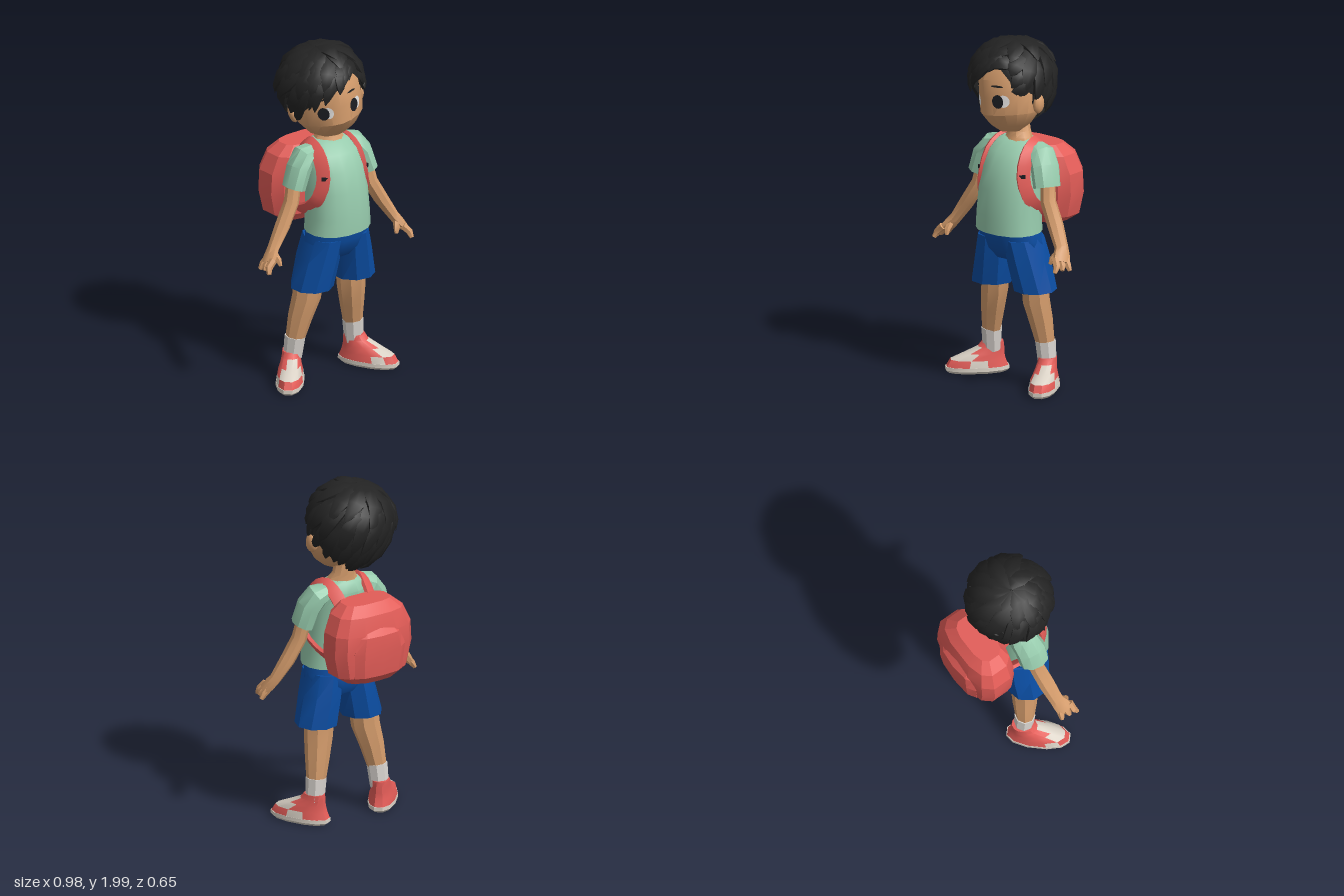
import * as THREE from 'three';
import { toCreasedNormals } from 'three/addons/utils/BufferGeometryUtils.js';
import { ParametricGeometry } from 'three/addons/geometries/ParametricGeometry.js';

const V = (x, y, z) => new THREE.Vector3(x, y, z);
const UP = V(0, 1, 0), FRONT = V(0, 0, 1);

function material(name, color, side = THREE.FrontSide) {
  const m = new THREE.MeshStandardMaterial({ color, side });
  m.name = name;
  return m;
}

// Closed skin over superellipse rings [x, y, z, halfWidth, halfDepth] along a path.
// dir fixes the ring plane; ref orients the rings; paint(ring, sector) picks a material slot.
function sweep(pts, { n = 10, ref = () => FRONT, dir, pow = 1, paint = () => 0, crease = 0.6 } = {}) {
  const centres = pts.map(p => V(p[0], p[1], p[2]));
  const rings = pts.map((p, i) => {
    const c = centres[i];
    const t = dir ? dir.clone() : centres[Math.min(i + 1, pts.length - 1)].clone().sub(centres[Math.max(i - 1, 0)]).normalize();
    const u = t.clone().cross(ref(c)).normalize();
    const v = t.clone().cross(u);
    return Array.from({ length: n }, (_, j) => {
      const a = (j + 0.5) / n * Math.PI * 2, co = Math.cos(a), si = Math.sin(a);
      return c.clone()
        .addScaledVector(u, p[3] * Math.sign(co) * Math.abs(co) ** pow)
        .addScaledVector(v, (p[4] ?? p[3]) * Math.sign(si) * Math.abs(si) ** pow);
    });
  });
  const slots = [];
  const tri = (k, ...vs) => (slots[k] ??= []).push(...vs);
  const last = rings.length - 1;
  for (let j = 0; j < n; j++) {
    const k = (j + 1) % n;
    for (let i = 0; i < last; i++) {
      const [a, b, c, d] = [rings[i][j], rings[i][k], rings[i + 1][k], rings[i + 1][j]];
      tri(paint(i, j), a, b, c, a, c, d);
    }
    tri(paint(0, j), centres[0], rings[0][k], rings[0][j]);
    tri(paint(last - 1, j), centres[last], rings[last][j], rings[last][k]);
  }
  const g = new THREE.BufferGeometry().setFromPoints(slots.flat());
  let start = 0;
  slots.forEach((s, k) => { g.addGroup(start, s.length, k); start += s.length; });
  return toCreasedNormals(g, crease);
}

export function createModel() {
  const skin = material('skin', 0xd39b6b), hairMat = material('hair', 0x232323, THREE.DoubleSide);
  const shirt = material('shirt green', 0x97cbad), blue = material('shorts blue', 0x0b4da2);
  const red = material('coral red', 0xe25c57), cream = material('shoe cream', 0xd9d1c5);
  const sockMat = material('sock white', 0xdad5d0), white = material('eye white', 0xe6e4e2), dark = material('eye dark', 0x1b1d22);
  const root = new THREE.Group();
  const add = (parent, name, geo, mat) => {
    const m = new THREE.Mesh(geo, mat);
    m.name = name;
    parent.add(m);
    return m;
  };
  const group = (name, parent, x, y, z, yaw = 0) => {
    const g = new THREE.Group();
    g.name = name;
    g.position.set(x, y, z);
    g.rotation.y = yaw;
    parent.add(g);
    return g;
  };
  // rows of [y, centreZ, halfWidth, halfDepth]
  const stack = (rows, opt) => sweep(rows.map(([y, z, w, d]) => [0, y, z, w, d]), { dir: UP, ...opt });

  // Torso, shorts and straps share the body's turn
  const body = group('body', root, 0.01, 0, 0.1, 0.26);
  add(body, 'shirt', stack([[0.905, 0.04, 0.195, 0.155], [1, 0.04, 0.187, 0.157], [1.15, 0.03, 0.18, 0.152], [1.27, 0.012, 0.175, 0.143],
    [1.36, -0.02, 0.165, 0.125], [1.41, -0.04, 0.125, 0.085], [1.425, -0.05, 0.085, 0.06]], { n: 16, pow: 0.9 }), shirt);
  add(body, 'shortsHips', stack([[0.745, 0.005, 0.12, 0.1], [0.8, 0.012, 0.2, 0.136], [0.86, 0.025, 0.198, 0.147], [0.925, 0.035, 0.185, 0.145]],
    { n: 12, crease: 1 }), blue);
  for (const s of [1, -1]) {
    add(body, 'shortsLeg', sweep([[s * 0.09, 0.87, 0.024, 0.1, 0.138], [s * 0.115, 0.74, 0.009, 0.114, 0.138], [s * 0.15, 0.57, -0.003, 0.122, 0.125]],
      { n: 9, dir: V(0, -1, 0) }), blue);
    const curve = new THREE.CatmullRomCurve3([V(0.1, 1.3, -0.19), V(0.11, 1.375, -0.12), V(0.125, 1.41, -0.05), V(0.138, 1.36, 0.05),
      V(0.15, 1.23, 0.1), V(0.178, 1.1, 0.065), V(0.165, 1.02, -0.06), V(0.14, 1, -0.17)].map(p => p.setX(p.x * s)));
    add(body, 'backpackStrap', sweep(curve.getPoints(18).map(p => [p.x, p.y, p.z, 0.041, 0.015]),
      { n: 6, pow: 0.6, ref: p => V(p.x, (p.y - 1.2) * 0.8, p.z) }), red);
    const buckle = add(body, 'strapBuckle', new THREE.BoxGeometry(0.035, 0.02, 0.01), dark);
    buckle.position.set(s * 0.152, 1.25, 0.112);
    buckle.rotation.y = s * 0.6;
  }

  // Backpack with its outer pocket
  const pack = group('backpack', root, -0.07, 0, -0.15, 0.25);
  add(pack, 'backpackBag', stack([[0.9, 0, 0.16, 0.09], [0.95, 0, 0.235, 0.125], [1.08, 0, 0.265, 0.138], [1.2, 0, 0.258, 0.138],
    [1.3, 0.01, 0.215, 0.122], [1.355, 0.02, 0.15, 0.08]], { n: 12, pow: 0.66, crease: 0.3 }), red);
  add(pack, 'backpackPocket', stack([[0.905, -0.06, 0.12, 0.05], [0.95, -0.08, 0.165, 0.068], [1.1, -0.09, 0.175, 0.075], [1.19, -0.085, 0.15, 0.073],
    [1.25, -0.065, 0.1, 0.045]], { n: 10, pow: 0.7, crease: 0.3 }), red);

  // Arms: z values follow shoulder, sleeve, elbow, forearm, wrist, palm
  for (const [s, side, z] of [[1, 'left', [0.02, 0.03, 0.045, 0.045, 0.055, 0.09]], [-1, 'right', [0.1, 0.122, 0.14, 0.17, 0.2, 0.235]]]) {
    const arm = group(side + 'Arm', root, 0, 0, 0);
    add(arm, 'sleeve', sweep([[s * 0.11, 1.37, z[0], 0.05, 0.06], [s * 0.165, 1.35, z[0], 0.066, 0.082], [s * 0.21, 1.29, z[1], 0.066, 0.088],
      [s * 0.245, 1.18, z[1] + 0.01, 0.062, 0.084]], { n: 9 }), shirt);
    add(arm, 'forearm', sweep([[s * 0.235, 1.23, z[1], 0.042], [s * 0.262, 1.1, z[2], 0.043, 0.046], [s * 0.33, 0.98, z[3], 0.041, 0.048],
      [s * 0.4, 0.87, z[4], 0.031, 0.041], [s * 0.425, 0.835, (z[4] + z[5]) / 2, 0.031, 0.05], [s * 0.452, 0.8, z[5], 0.024, 0.052]], { n: 8 }), skin);
    for (let i = 0; i < 3; i++) {
      const dz = (i - 1) * 0.037;
      add(arm, 'finger', sweep([[s * 0.43, 0.825, z[5] + dz * 0.8, 0.023], [s * 0.464, 0.788, z[5] + dz + 0.006, 0.021],
        [s * (0.483 - i * 0.006), 0.757 + (i % 2) * 0.008, z[5] + dz * 1.3 + 0.015, 0.012]], { n: 6 }), skin);
    }
    add(arm, 'thumb', sweep([[s * 0.41, 0.85, z[4] + 0.025, 0.022], [s * 0.395, 0.815, z[4] + 0.06, 0.018], [s * 0.388, 0.785, z[4] + 0.07, 0.01]], { n: 6 }), skin);
  }

  // Legs, socks and shoes; shoe sectors 7 to 10 face the toe, 1 to 4 the heel
  const shoePaint = (i, j) => {
    if (i === 0) return j === 6 || j === 11 ? 1 : 0;
    if (i === 1) return j >= 7 && j <= 10 ? 1 : 0;
    return i === 2 && (j === 8 || j === 9) ? 1 : 0;
  };
  for (const [side, leg, foot] of [
    ['left', [[0.14, 0.64, 0.05], [0.148, 0.5, 0.045], [0.163, 0.38, 0.022], [0.177, 0.25, 0.003], [0.187, 0.13, -0.004]], [0.247, 0.063, 0.72]],
    ['right', [[-0.14, 0.64, 0.115], [-0.155, 0.5, 0.11], [-0.188, 0.38, 0.098], [-0.215, 0.25, 0.088], [-0.226, 0.13, 0.075]], [-0.272, 0.145, -0.5]]]) {
    const g = group(side + 'Leg', root, 0, 0, 0);
    const r = [[0.085, 0.078], [0.082, 0.076], [0.07, 0.067], [0.055, 0.053]];
    add(g, 'leg', sweep(leg.slice(0, 4).map((p, i) => [...p, ...r[i]]), { n: 8 }), skin);
    add(g, 'sock', sweep([[leg[3][0], 0.265, leg[3][2], 0.059], [...leg[4], 0.053]], { n: 8 }), sockMat);
    const shoe = group(side + 'Shoe', root, foot[0], 0, foot[1], foot[2]);
    add(shoe, 'sole', stack([[0, 0, 0.068, 0.165], [0.015, 0, 0.08, 0.183], [0.035, 0, 0.079, 0.182]], { n: 12, pow: 0.88 }), cream);
    add(shoe, 'shoeUpper', stack([[0.03, 0, 0.078, 0.18], [0.075, -0.004, 0.072, 0.157], [0.11, -0.04, 0.06, 0.113],
      [0.145, -0.078, 0.053, 0.074], [0.175, -0.088, 0.05, 0.06]], { n: 12, pow: 0.9, paint: shoePaint }), [red, cream]);
  }

  // Neck with the bare skin inside the collar, and the tilted head
  add(root, 'neck', sweep([[0.005, 1.395, 0.062, 0.1, 0.078], [0.002, 1.43, 0.056, 0.083, 0.068], [-0.003, 1.46, 0.05, 0.063], [-0.015, 1.53, 0.05, 0.06]],
    { n: 10, dir: UP }), skin);
  const head = group('head', root, -0.02, 1.66, 0.07);
  head.rotation.z = 0.15;
  const face = new THREE.Mesh(stack([[-0.19, 0.055, 0.08, 0.05], [-0.15, 0.045, 0.145, 0.11], [-0.08, 0.035, 0.195, 0.172], [0.02, 0.02, 0.205, 0.188],
    [0.12, 0.01, 0.2, 0.193], [0.22, 0, 0.16, 0.15], [0.28, 0, 0.07, 0.07]], { n: 18, pow: 1.18 }), skin);
  face.name = 'face';

  // Eyes and brows: thin discs laid onto the face
  const ray = new THREE.Raycaster();
  const decal = (name, x, y, rx, ry, lift, mat, turn = 0) => {
    const geo = new THREE.CircleGeometry(1, 16).scale(rx, ry, 1).rotateZ(turn).translate(x, y, 0);
    const p = geo.attributes.position;
    for (let i = 0; i < p.count; i++) {
      ray.set(V(p.getX(i), p.getY(i), 1), V(0, 0, -1));
      const hit = ray.intersectObject(face)[0];
      p.setZ(i, (hit ? hit.point.z : 0.15) + lift);
    }
    geo.computeVertexNormals();
    add(head, name, geo, mat);
  };
  for (const s of [1, -1]) {
    decal('eyeWhite', s * 0.093 + 0.022, 0, 0.028, 0.035, 0.004, white);
    decal('pupil', s * 0.093 - 0.003, 0, 0.029, 0.039, 0.008, dark);
    decal('brow', s * 0.088, 0.085, 0.032, 0.006, 0.005, hairMat, s * -0.12);
    const ear = add(head, 'ear', new THREE.SphereGeometry(1, 10, 8), skin);
    ear.scale.set(0.028, 0.056, 0.042);
    ear.position.set(s * 0.2, -0.035, -0.015);
    ear.rotation.set(0, s * 0.4, s * -0.15);
  }
  head.add(face);

  // Hairline height by angle in degrees around the head, 0 at the front
  const line = [[-180, -0.25], [-135, -0.24], [-105, -0.12], [-85, -0.08], [-62, -0.13], [-30, -0.03], [0, 0.01], [18, 0.06], [30, 0.09],
    [45, 0.03], [60, -0.09], [74, -0.18], [95, -0.1], [120, -0.2], [180, -0.25]];
  const endAngle = az => {
    const d = THREE.MathUtils.euclideanModulo(az * 180 / Math.PI + 180, 360) - 180;
    const k = Math.max(1, line.findIndex(e => e[0] >= d));
    const y = THREE.MathUtils.mapLinear(d, line[k - 1][0], line[k][0], line[k - 1][1], line[k][1]);
    return Math.acos(y / (y > 0 ? 0.2 : 0.3));
  };
  const hairPoint = (az, f, k) => {
    const phi = f * endAngle(az), r = Math.sin(phi) * 0.228 * k, c = Math.cos(phi);
    return V(Math.sin(az) * r - 0.014, 0.112 + c * (c > 0 ? 0.2 : 0.3) * (c > 0 ? k : 1), Math.cos(az) * r - 0.008);
  };
  const hair = group('hair', head, 0, 0, 0);
  add(hair, 'hairCap', new ParametricGeometry((u, v, out) => out.copy(hairPoint(u * Math.PI * 2, v * 0.97, 1)), 36, 12), hairMat);

  // Overlapping tapered locks swirling from the crown
  let seed = 7;
  const rnd = () => (seed = (seed * 16807) % 2147483647) / 2147483647;
  const middle = V(-0.012, 0.09, -0.008);
  for (const [count, f0, f1, width, lift] of [[11, 0.01, 0.6, 0.055, 1.03], [16, 0.3, 0.85, 0.052, 1.03], [26, 0.58, 1.04, 0.043, 1.01]]) {
    for (let i = 0; i < count; i++) {
      const az = (i + rnd() * 0.6) / count * Math.PI * 2, twist = -0.25 - rnd() * 0.4, reach = f1 + (rnd() - 0.5) * 0.1;
      const flick = 0.07 + rnd() * 0.09;
      const rows = [0, 0.3, 0.6, 0.85, 1].map((t, q) => {
        const p = hairPoint(az + twist * t, f0 + (reach - f0) * t, lift - 0.04 + flick * t ** 1.5);
        const w = [0.6, 1, 0.95, 0.55, 0.06][q];
        return [p.x, p.y, p.z, width * w, 0.024 * w];
      });
      add(hair, 'hairLock', sweep(rows, { n: 6, crease: 0.8, ref: p => p.clone().sub(middle) }), hairMat);
    }
  }
  return root;
}
